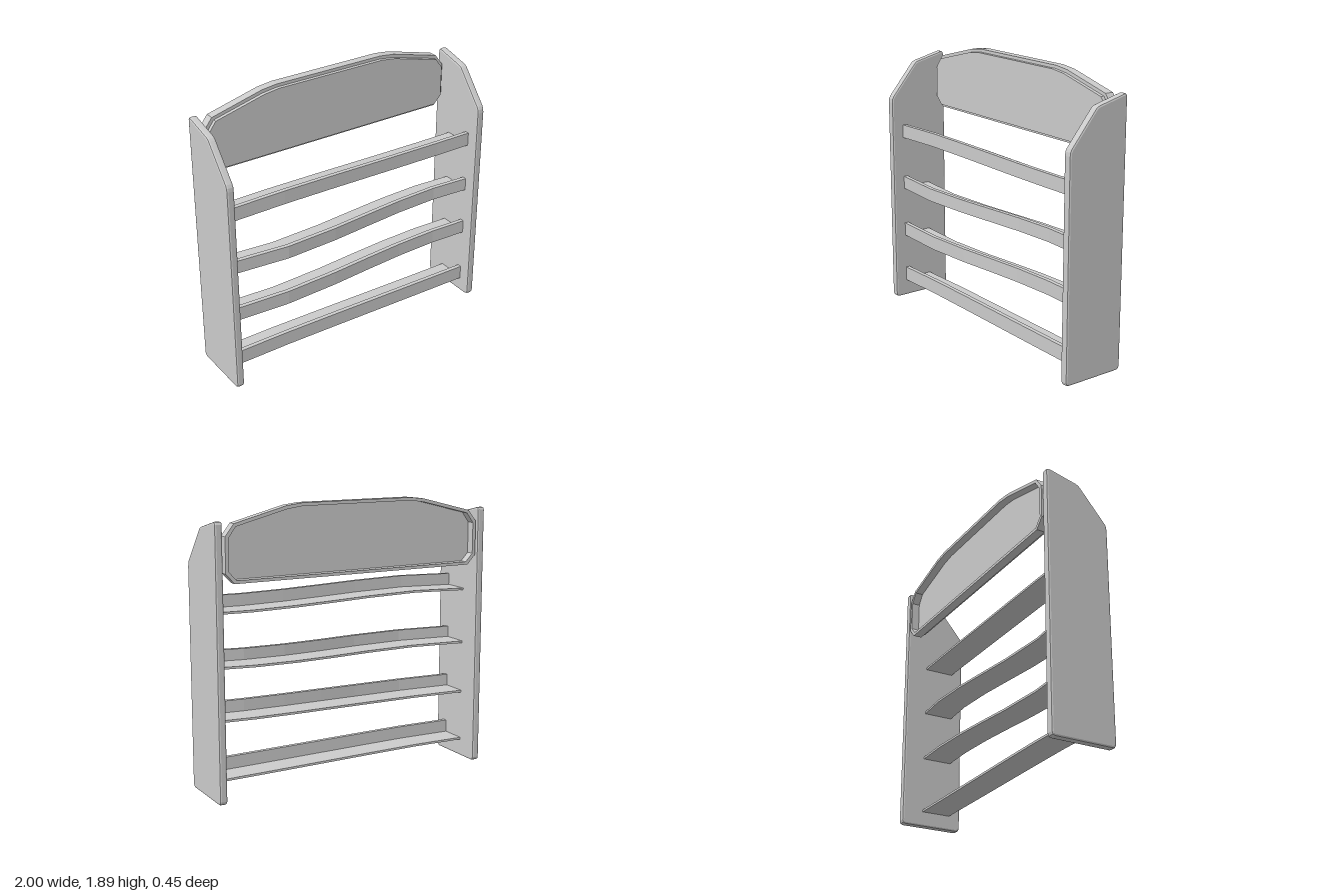
import * as THREE from 'three';

const material = new THREE.MeshStandardMaterial({ color: 0xcccccc });

function addMesh(parent, geometry, name) {
  const mesh = new THREE.Mesh(geometry, material);
  mesh.name = name;
  parent.add(mesh);
  return mesh;
}

const toShape = (points) => new THREE.Shape(points.map(([x, y]) => new THREE.Vector2(x, y)));

// Bevelled board whose outline stays at the given points
function board(shape, thickness, bevel) {
  return new THREE.ExtrudeGeometry(shape, {
    depth: thickness - 2 * bevel, bevelEnabled: bevel > 0, bevelThickness: bevel,
    bevelSize: bevel, bevelOffset: -bevel, bevelSegments: 2, curveSegments: 1,
  }).translate(0, 0, bevel);
}

// Side panel outline as (z, y)
const sideOutline = [
  [-0.2, 0], [0.2, 0], [0.217, 0.008], [0.225, 0.025], [0.225, 1.475], [0.222, 1.5], [0.212, 1.52],
  [0.03, 1.735], [0.017, 1.747], [0, 1.755], [-0.2, 1.803], [-0.215, 1.8], [-0.223, 1.785],
  [-0.223, 0.025], [-0.217, 0.008],
];

// Right half of the headboard outline, from the bottom up
const headHalf = [[0.87, 1.415], [0.93, 1.48], [0.93, 1.71], [0.87, 1.787], [0.51, 1.88], [0.4, 1.893]];
const headInner = [[0.855, 1.435], [0.907, 1.49], [0.907, 1.7], [0.857, 1.768], [0.505, 1.858], [0.398, 1.872]];
const mirrored = (half) => [...half, ...half.map(([x, y]) => [-x, y]).reverse()];

// Shelf stations along x and the forward sway at each of them
const stations = [-0.945, -0.55, -0.18, 0.1, 0.38, 0.68, 0.945];
const sway = [0, 1, 0.65, 0, -0.55, -0.65, 0];
// Height of each shelf at the stations, and how far it sways
const shelves = [
  { y: [0.12, 0.124, 0.12, 0.116, 0.112, 0.108, 0.105], height: 0.1, amount: 0 },
  { y: [0.47, 0.472, 0.478, 0.485, 0.491, 0.496, 0.5], height: 0.095, amount: 0.025 },
  { y: [0.83, 0.833, 0.835, 0.836, 0.839, 0.844, 0.85], height: 0.09, amount: 0.04 },
  { y: [1.21, 1.222, 1.217, 1.209, 1.202, 1.199, 1.203], height: 0.094, amount: 0.01 },
];

// L-shaped shelf: flat tray with an upright front lip, bent station by station
function shelfGeometry({ y, height, amount }) {
  const section = toShape([
    [-0.07, 0], [0.14, 0], [0.14, height], [0.11, height], [0.11, 0.015], [-0.07, 0.015],
  ]);
  const last = stations.length - 1;
  const geometry = new THREE.ExtrudeGeometry(section, { depth: last, steps: last, bevelEnabled: false });
  geometry.rotateY(-Math.PI / 2);
  const pos = geometry.attributes.position;
  for (let i = 0; i < pos.count; i++) {
    const s = last + Math.round(pos.getX(i));
    pos.setXYZ(i, stations[s], pos.getY(i) + y[s], pos.getZ(i) + sway[s] * amount);
  }
  geometry.computeVertexNormals();
  return geometry;
}

export function createModel() {
  const model = new THREE.Group();
  model.name = 'shelfUnit';

  // Side panels
  for (const [name, x] of [['leftSidePanel', 1], ['rightSidePanel', -0.946]]) {
    const panel = addMesh(model, board(toShape(sideOutline), 0.054, 0.013).rotateY(-Math.PI / 2), name);
    panel.position.x = x;
  }

  // Shelves with front lips
  shelves.forEach((shelf, i) => addMesh(model, shelfGeometry(shelf), `shelf${i + 1}`));

  // Headboard: open frame at the back, closed by a thinner panel in front
  const headboard = new THREE.Group();
  headboard.name = 'headboard';
  const frame = toShape(mirrored(headHalf));
  frame.holes.push(new THREE.Path(toShape(mirrored(headInner)).getPoints()));
  addMesh(headboard, board(frame, 0.06, 0), 'headboardFrame').position.z = -0.22;
  addMesh(headboard, board(toShape(mirrored(headInner)), 0.03, 0), 'headboardPanel').position.z = -0.165;
  model.add(headboard);

  return model;
}
